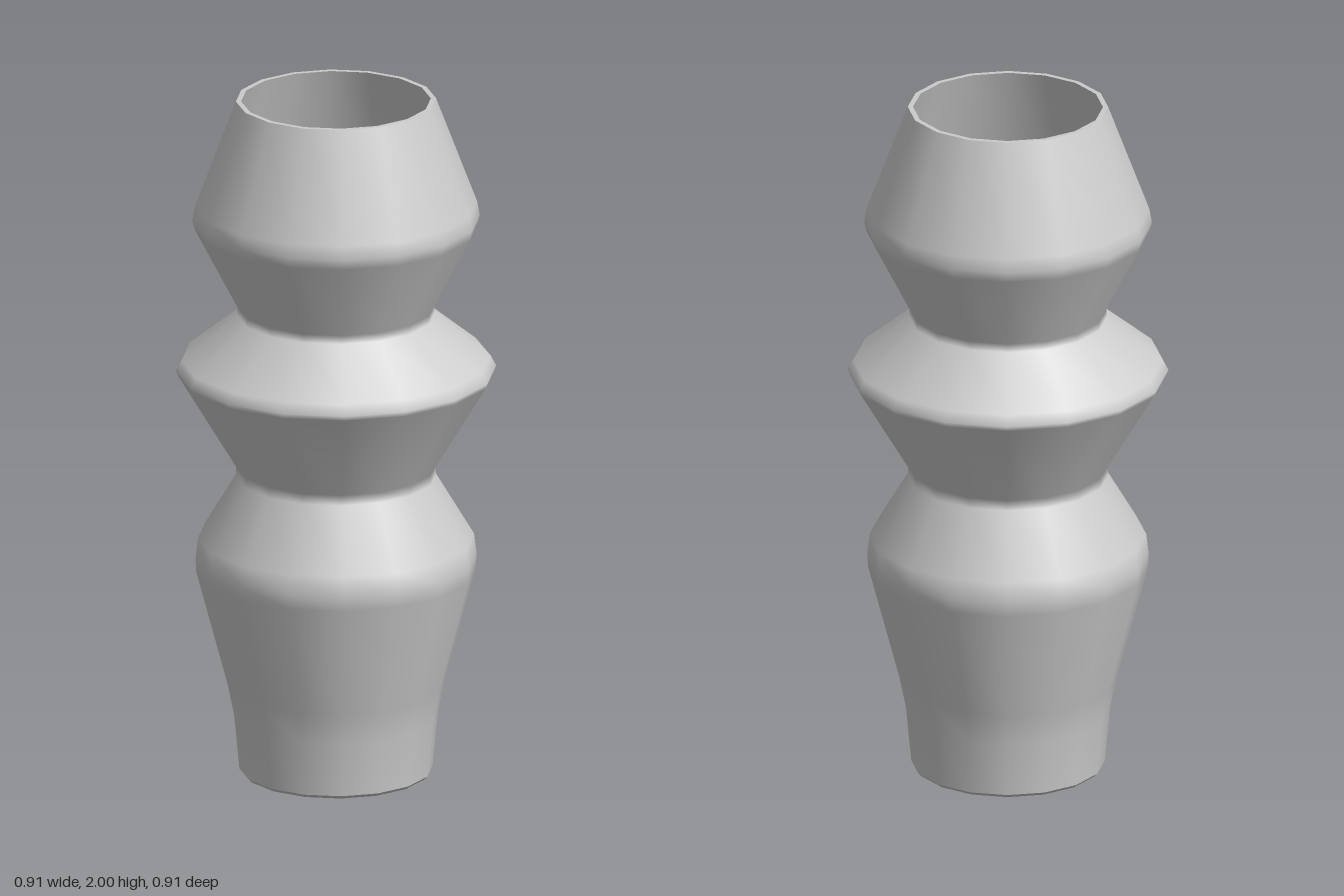
import * as THREE from 'three';

const SIDES = 16;
const TWIST = 0.11; // turns the facets slightly off the axes

export function createModel() {
  const group = new THREE.Group();
  group.name = 'vase';
  const material = new THREE.MeshStandardMaterial({ color: 0xcccccc });

  // Adds one turned surface from [radius, height] pairs
  const turn = (name, profile) => {
    const points = profile.map(([r, y]) => new THREE.Vector2(r, y));
    const mesh = new THREE.Mesh(new THREE.LatheGeometry(points, SIDES, TWIST), material);
    mesh.name = name;
    group.add(mesh);
  };

  // Outer wall: tapered foot, three bulges and two necks
  const outer = [
    [0.275, 0.01], [0.29, 0.17], [0.308, 0.26], [0.398, 0.6], [0.4, 0.64], [0.393, 0.7],
    [0.285, 0.88], [0.284, 0.91], [0.45, 1.185], [0.456, 1.2], [0.44, 1.23],
    [0.28, 1.36], [0.28, 1.385], [0.402, 1.62], [0.409, 1.65], [0.402, 1.69], [0.285, 2],
  ];
  turn('outerWall', outer);

  // Inner wall follows the outer one, from the rim down to the floor
  const inner = outer.map(([r, y]) => [r - (y < 1.95 ? 0.028 : 0.015), Math.max(y, 0.03)]);
  turn('innerWall', inner.reverse());

  // Rim, inside floor and closed base
  turn('rim', [[0.285, 2], [0.27, 2]]);
  turn('floor', [[0.247, 0.03], [0, 0.03]]);
  turn('base', [[0, 0], [0.265, 0], [0.275, 0.01]]);

  return group;
}
